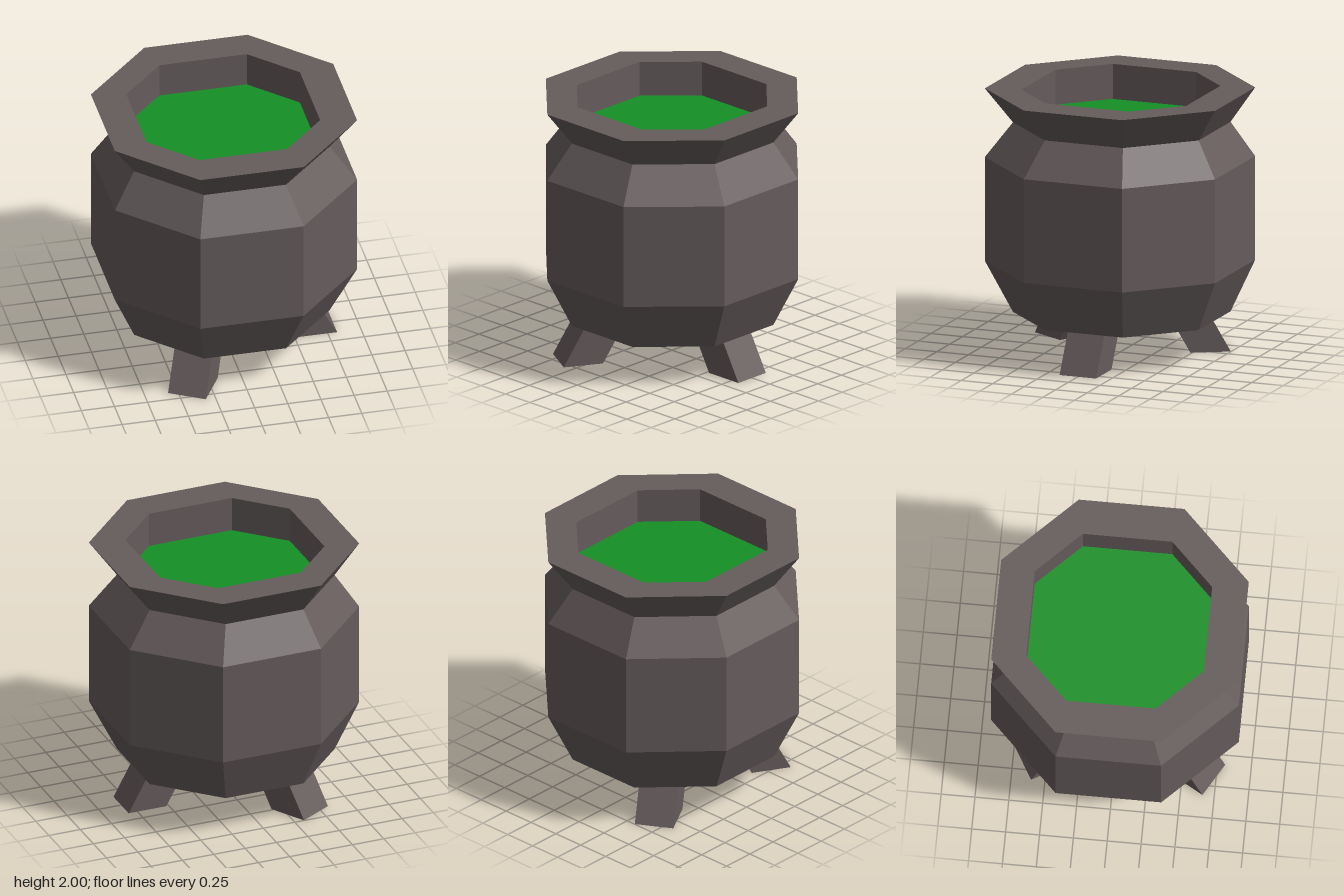
import * as THREE from 'three';

const stone = new THREE.MeshStandardMaterial({ color: 0x665c5c, flatShading: true });
const brew = new THREE.MeshStandardMaterial({ color: 0x159026, flatShading: true });

// Eight corners: h = half width, f = half length of the flat side, c = shift of the centre
function octagon([y, h, f, c]) {
  return [[h, f], [f, h], [-f, h], [-h, f], [-h, -f], [-f, -h], [f, -h], [h, -f]]
    .map(([x, z]) => [x + c, y, z + c]);
}

// Joins octagonal rings, listed from the underside outwards, up and in again
function octagonSkin(rings) {
  const loops = rings.map(octagon);
  const pos = [];
  for (let r = 0; r < loops.length - 1; r++) {
    const a = loops[r], b = loops[r + 1];
    for (let i = 0; i < 8; i++) {
      const j = (i + 1) % 8;
      pos.push(...a[i], ...b[i], ...a[j], ...b[i], ...b[j], ...a[j]);
    }
  }
  const geo = new THREE.BufferGeometry();
  geo.setAttribute('position', new THREE.Float32BufferAttribute(pos, 3));
  geo.computeVertexNormals();
  return geo;
}

function addMesh(parent, name, geometry, material) {
  const mesh = new THREE.Mesh(geometry, material);
  mesh.name = name;
  parent.add(mesh);
  return mesh;
}

// Square leg whose foot is splayed outwards along its own +x
function legGeometry() {
  const height = 0.32, splay = 0.55;
  const geo = new THREE.BoxGeometry(0.3, height, 0.29).translate(0, height / 2, 0);
  const p = geo.attributes.position;
  for (let i = 0; i < p.count; i++) p.setX(i, p.getX(i) - p.getY(i) * splay);
  geo.computeVertexNormals();
  return geo;
}

export function createModel() {
  const model = new THREE.Group();
  model.name = 'cauldron';

  // Pot: closed underside, belly, neck, flared rim and inner wall
  addMesh(model, 'pot', octagonSkin([
    [0.305, 0, 0, -0.01],
    [0.305, 0.737, 0.31, -0.01],
    [0.695, 0.914, 0.39, 0],
    [1.48, 0.914, 0.39, 0],
    [1.74, 0.737, 0.31, -0.01],
    [2, 0.914, 0.39, 0],
    [2, 0.655, 0.33, -0.005],
    [1.73, 0.655, 0.33, -0.005],
  ]), stone);

  // Liquid surface
  addMesh(model, 'liquid', octagonSkin([
    [1.735, 0.655, 0.33, -0.005],
    [1.735, 0, 0, -0.005],
  ]), brew);

  // Three splayed legs: foot x, foot z, outward direction in degrees
  const legs = [['leftLeg', 0.67, 0, 0], ['frontRightLeg', -0.375, 0.605, -120], ['backRightLeg', -0.375, -0.545, 120]];
  for (const [name, x, z, turn] of legs) {
    const leg = addMesh(model, name, legGeometry(), stone);
    leg.position.set(x, 0, z);
    leg.rotation.y = THREE.MathUtils.degToRad(turn);
  }
  return model;
}
